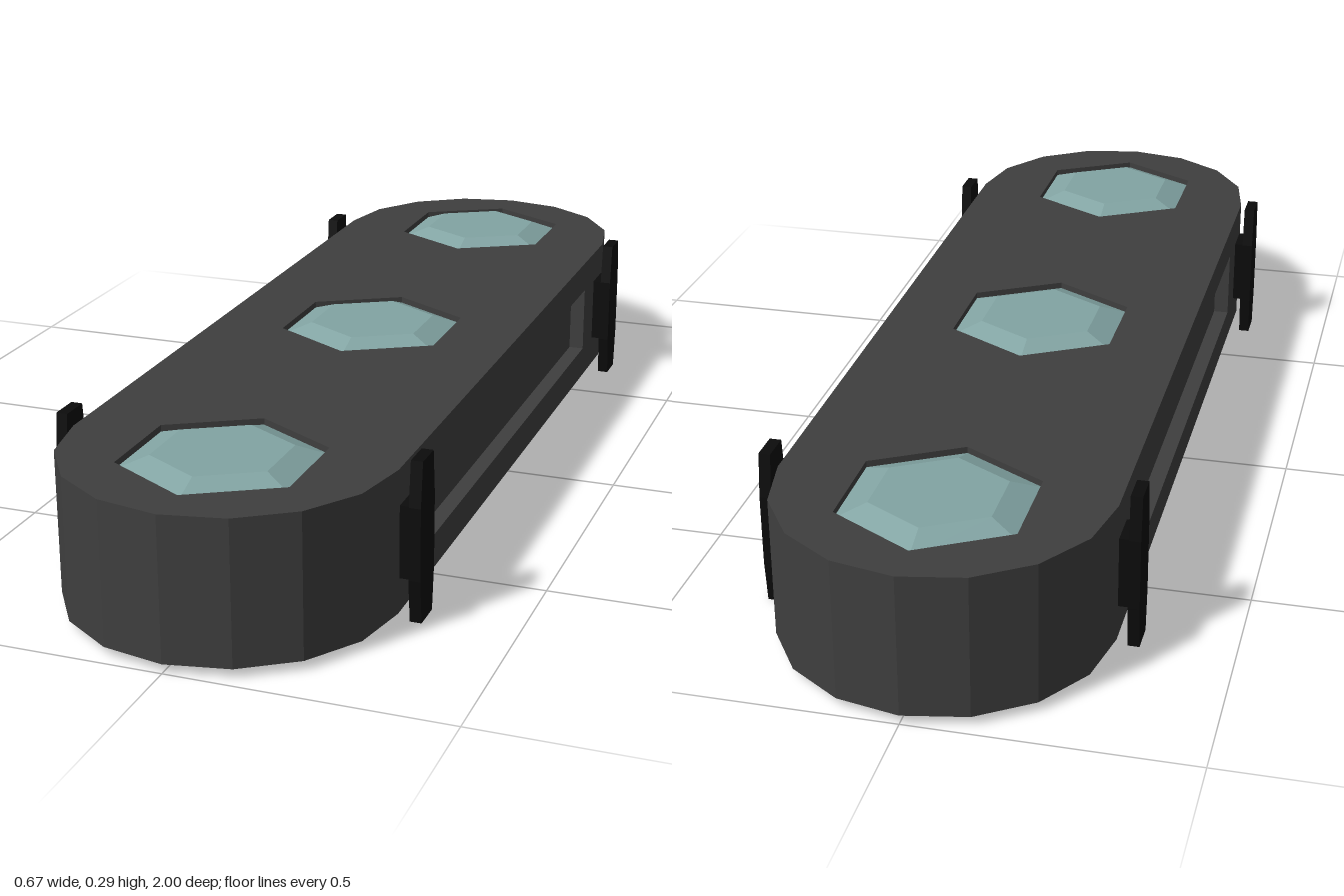
import * as THREE from 'three';

const R = 0.297, CZ = 0.703;      // end cap radius and centre
const GEM_Z = [-0.74, 0, 0.74], GEM_R = 0.18;

// Rounded-bar outline, optionally notched along both long sides
function outline(notch) {
  const pts = [];
  for (const s of [1, -1]) {
    for (let i = 0; i <= 8; i++) {
      const a = (i / 8) * Math.PI;
      pts.push(new THREE.Vector2(s * R * Math.cos(a), s * (CZ + R * Math.sin(a))));
    }
    if (notch) {
      const d = R - 0.03, l = 0.55;
      for (const [x, z] of [[R, l], [d, l], [d, -l], [R, -l]]) pts.push(new THREE.Vector2(-s * x, s * z));
    }
  }
  return new THREE.Shape(pts);
}

// Horizontal slab of the body between two heights
function slab(y0, y1, { notch = false, holes = false }) {
  const shape = outline(notch);
  if (holes) {
    for (const z of GEM_Z) {
      const hex = [];
      for (let i = 0; i < 6; i++) {
        const a = (i / 6) * Math.PI * 2;
        hex.push(new THREE.Vector2(GEM_R * Math.sin(a), z + GEM_R * Math.cos(a)));
      }
      shape.holes.push(new THREE.Path(hex));
    }
  }
  const g = new THREE.ExtrudeGeometry(shape, { depth: y1 - y0, bevelEnabled: false });
  return g.rotateX(-Math.PI / 2).translate(0, y0, 0);
}

export function createModel() {
  const group = new THREE.Group();
  const casing = new THREE.MeshStandardMaterial({ color: 0x3f3f3f });
  casing.name = 'charcoal casing';
  const glass = new THREE.MeshStandardMaterial({ color: 0x82a4a3 });
  glass.name = 'pale teal glass';
  const black = new THREE.MeshStandardMaterial({ color: 0x0c0c0c });
  black.name = 'black clip';

  const add = (name, geo, mat) => {
    const m = new THREE.Mesh(geo, mat);
    m.name = name;
    group.add(m);
    return m;
  };

  // Body: lens sockets above and below, side recesses in the middle
  add('bodyBottom', slab(0.017, 0.08, { holes: true }), casing);
  add('bodyMiddle', slab(0.08, 0.215, { notch: true }), casing);
  add('bodyTop', slab(0.215, 0.278, { holes: true }), casing);

  // Faceted hexagonal lenses, top and bottom
  const lens = new THREE.CylinderGeometry(0.122, GEM_R, 0.021, 6).toNonIndexed();
  lens.computeVertexNormals();
  for (const z of GEM_Z) {
    add('topLens', lens, glass).position.set(0, 0.2765, z);
    const low = add('bottomLens', lens, glass);
    low.position.set(0, 0.0185, z);
    low.rotation.z = Math.PI;
  }

  // Side clips: slightly bowed plates on short mounting blocks
  const w = 0.037, e = 0.028;
  const profile = new THREE.Shape([
    [-e, 0], [e, 0], [w, 0.08], [w, 0.212], [e, 0.293], [-e, 0.293], [-w, 0.212], [-w, 0.08],
  ].map(([z, y]) => new THREE.Vector2(z, y)));
  const plate = new THREE.ExtrudeGeometry(profile, { depth: 0.021, bevelEnabled: false })
    .rotateY(Math.PI / 2).translate(-0.0105, 0, 0);
  const block = new THREE.BoxGeometry(0.04, 0.132, 0.066);
  for (const x of [-1, 1]) {
    for (const z of [-0.664, 0.664]) {
      add('clipPlate', plate, black).position.set(x * 0.3245, 0, z);
      add('clipMount', block, black).position.set(x * 0.3, 0.146, z);
    }
  }
  return group;
}
